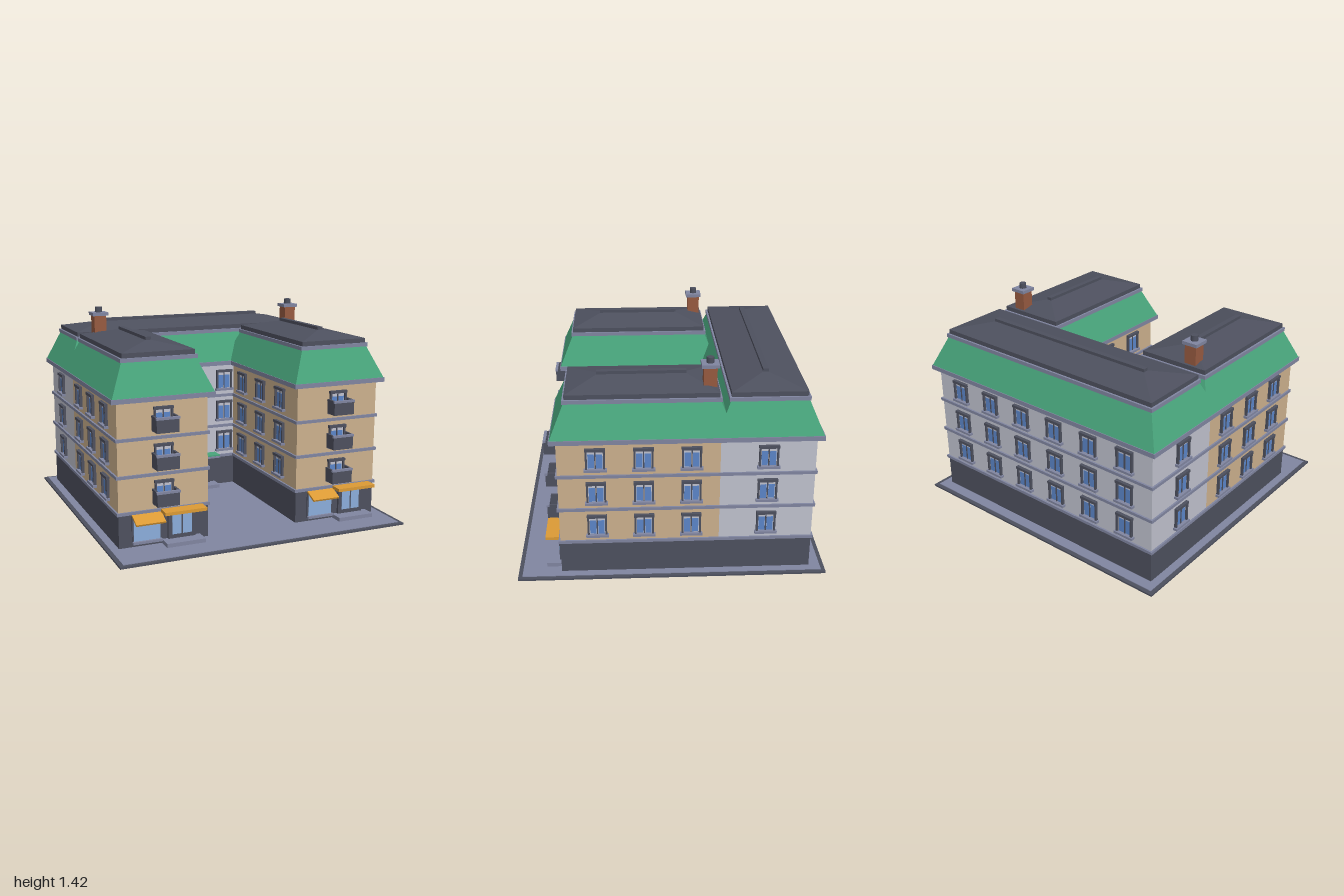
import * as THREE from 'three';

const mat = (name, color) => Object.assign(new THREE.MeshStandardMaterial({ color }), { name });
const M = {
  slate: mat('dark slate', 0x4d505e),
  trim: mat('grey trim', 0x8085a0),
  pale: mat('pale wall', 0xbfc1cd),
  tan: mat('tan wall', 0xcbb08d),
  green: mat('green roof', 0x48a47b),
  glass: mat('blue glass', 0x5b85c8),
  shop: mat('shop glass', 0x8badda),
  gold: mat('gold awning', 0xdb9a35),
  brick: mat('brick', 0x965a40),
};

// Box from ranges; the top can be drawn in by ix and iz on each side
function block(parent, name, m, x0, x1, y0, y1, z0, z1, ix = 0, iz = 0) {
  const w = x1 - x0, h = y1 - y0, d = z1 - z0;
  const g = new THREE.BoxGeometry(w, h, d);
  if (ix || iz) {
    const p = g.attributes.position;
    for (let i = 0; i < p.count; i++) {
      if (p.getY(i) < 0) continue;
      p.setX(i, p.getX(i) - Math.sign(p.getX(i)) * ix);
      p.setZ(i, p.getZ(i) - Math.sign(p.getZ(i)) * iz);
    }
    g.computeVertexNormals();
  }
  const mesh = new THREE.Mesh(g, m);
  mesh.name = name;
  mesh.position.set((x0 + x1) / 2, (y0 + y1) / 2, (z0 + z1) / 2);
  parent.add(mesh);
  return mesh;
}

function subgroup(parent, name, x = 0, y = 0, z = 0, turn = 0) {
  const g = new THREE.Group();
  g.name = name;
  g.position.set(x, y, z);
  g.rotation.y = turn;
  parent.add(g);
  return g;
}

const FLOORS = [0.24, 0.475, 0.71];

// Window facing +z, y measured from the floor line
function addWindow(parent, x, y, z, turn) {
  const w = subgroup(parent, 'window', x, y, z, turn);
  block(w, 'windowFrame', M.pale, -0.052, 0.052, 0.055, 0.185, -0.002, 0.004);
  for (const s of [-1, 1]) {
    block(w, 'pane', M.glass, s * 0.026 - 0.02, s * 0.026 + 0.02, 0.058, 0.155, 0.003, 0.006);
    block(w, 'jamb', M.slate, s * 0.056 - 0.006, s * 0.056 + 0.006, 0.055, 0.185, 0, 0.018);
  }
  block(w, 'mullion', M.slate, -0.004, 0.004, 0.055, 0.18, 0, 0.009);
  block(w, 'lintel', M.slate, -0.064, 0.064, 0.178, 0.196, 0, 0.022);
  block(w, 'sill', M.trim, -0.072, 0.072, 0.04, 0.056, 0, 0.028);
}

// Balcony with solid parapet, rail on top
function addBalcony(parent, x, y, z) {
  const b = subgroup(parent, 'balcony', x, y, z);
  block(b, 'balconySlab', M.slate, -0.074, 0.074, 0.045, 0.06, 0, 0.094);
  block(b, 'parapetFront', M.slate, -0.074, 0.074, 0.05, 0.13, 0.084, 0.094);
  block(b, 'railFront', M.trim, -0.078, 0.078, 0.128, 0.143, 0.08, 0.098);
  for (const s of [-1, 1]) {
    block(b, 'parapetSide', M.slate, s * 0.069 - 0.005, s * 0.069 + 0.005, 0.05, 0.13, 0, 0.09);
    block(b, 'railSide', M.slate, s * 0.07 - 0.007, s * 0.07 + 0.007, 0.128, 0.142, 0, 0.085);
  }
}

// Double door facing +z with glass leaves and a step
function addDoor(parent, x, z, w, h, paneY0, paneY1, stepW, stepD) {
  const d = subgroup(parent, 'door', x, 0, z);
  block(d, 'doorFrame', M.slate, -w / 2, w / 2, 0.015, h, 0, 0.018);
  for (const s of [-1, 1]) {
    const c = s * w * 0.195, r = w * 0.165;
    block(d, 'doorGlass', M.shop, c - r, c + r, paneY0, paneY1, 0.016, 0.022);
  }
  block(d, 'doorStep', M.trim, -stepW / 2, stepW / 2, 0.014, 0.042, 0, stepD);
}

// Storeys, bands and eaves cornice of one block
function addWalls(parent, wall, x0, x1, z0, z1) {
  block(parent, 'groundFloor', M.slate, x0, x1, 0.012, 0.24, z0, z1);
  block(parent, 'upperWalls', wall, x0, x1, 0.24, 0.95, z0, z1);
  for (const y of FLOORS)
    block(parent, 'floorBand', M.trim, x0 - 0.012, x1 + 0.012, y - 0.01, y + 0.01, z0 - 0.012, z1 + 0.012);
  block(parent, 'eavesCornice', M.trim, x0 - 0.04, x1 + 0.04, 0.945, 0.975, z0 - 0.04, z1 + 0.04);
}

// Mansard slope, rim, low hip and ridge cap
function addRoof(parent, x0, x1, z0, z1, ridgeX, ridgeZ) {
  block(parent, 'mansard', M.green, x0, x1, 0.975, 1.182, z0, z1, 0.09, 0.09);
  const [a, b, c, d] = [x0 + 0.082, x1 - 0.082, z0 + 0.082, z1 - 0.082];
  block(parent, 'roofRim', M.trim, a, b, 1.18, 1.205, c, d);
  const e = 0.013, cx = (a + b) / 2, cz = (c + d) / 2;
  block(parent, 'roofEdge', M.slate, a + e, b - e, 1.205, 1.235, c + e, d - e);
  block(parent, 'hipRoof', M.slate, a + e, b - e, 1.235, 1.28, c + e, d - e,
    (b - a) / 2 - e - ridgeX, (d - c) / 2 - e - ridgeZ);
  block(parent, 'ridgeCap', M.slate, cx - ridgeX, cx + ridgeX, 1.275, 1.3, cz - ridgeZ, cz + ridgeZ);
}

function addChimney(parent, x, z) {
  const c = subgroup(parent, 'chimney', x, 0, z);
  block(c, 'chimneyStack', M.brick, -0.042, 0.042, 1.2, 1.37, -0.042, 0.042);
  block(c, 'chimneyCap', M.trim, -0.055, 0.055, 1.366, 1.388, -0.055, 0.055);
  const pot = new THREE.Mesh(new THREE.CylinderGeometry(0.024, 0.024, 0.04, 12), M.slate);
  pot.name = 'chimneyPot';
  pot.position.y = 1.405;
  c.add(pot);
}

// Shop window, awning, door and canopy; x measured from the wing centre
function addShop(parent, cx, z) {
  const s = subgroup(parent, 'shopFront', cx, 0, z);
  block(s, 'shopWindowFrame', M.slate, -0.215, -0.02, 0.04, 0.22, 0, 0.008);
  block(s, 'shopWindow', M.shop, -0.205, -0.03, 0.052, 0.21, 0.006, 0.013);
  block(s, 'shopSill', M.trim, -0.215, -0.02, 0.038, 0.054, 0, 0.03);
  const awning = block(s, 'slopedAwning', M.gold, -0.215, -0.02, 0.2, 0.213, 0, 0.1);
  awning.rotation.x = 0.42;
  block(s, 'flatCanopy', M.gold, -0.025, 0.256, 0.226, 0.247, 0, 0.1);
  addDoor(s, 0.115, 0, 0.185, 0.22, 0.07, 0.198, 0.26, 0.1);
}

export function createModel() {
  const model = new THREE.Group();
  model.name = 'courtyardBuilding';

  // Ground plate
  block(model, 'groundBorder', M.slate, -1, 1, 0, 0.012, -1, 1);
  block(model, 'pavement', M.trim, -0.973, 0.973, 0.01, 0.016, -0.973, 0.973);

  // Rear block
  const rear = subgroup(model, 'rearBlock');
  addWalls(rear, M.pale, -0.92, 0.92, -0.9, -0.3);
  addRoof(rear, -0.955, 0.955, -0.935, -0.27, 0.637, 0.018);
  for (const y of FLOORS) {
    for (const x of [-0.24, 0, 0.24]) addWindow(rear, x, y, -0.3, 0);
    for (let i = 0; i < 6; i++) addWindow(rear, -0.715 + i * 0.286, y, -0.9, Math.PI);
    for (const s of [-1, 1]) addWindow(rear, s * 0.92, y, -0.6, s * Math.PI / 2);
  }

  // Courtyard entrance
  const entrance = subgroup(rear, 'entrance');
  addDoor(entrance, 0, -0.3, 0.24, 0.245, 0.088, 0.215, 0.33, 0.1);
  block(entrance, 'entranceCanopy', M.green, -0.17, 0.17, 0.256, 0.272, -0.3, -0.21);
  block(entrance, 'canopyEdge', M.trim, -0.172, 0.172, 0.25, 0.262, -0.212, -0.202);

  // Two wings
  for (const side of [-1, 1]) {
    const cx = side * 0.62;
    const wing = subgroup(model, side > 0 ? 'leftWing' : 'rightWing');
    addWalls(wing, M.tan, cx - 0.3, cx + 0.3, -0.3, 0.72);
    addRoof(wing, cx - 0.335, cx + 0.335, -0.39, 0.755, 0.018, 0.283);
    addChimney(wing, side * 0.738, -0.24);
    for (const y of FLOORS) {
      for (const z of [-0.12, 0.18, 0.48])
        for (const s of [-1, 1]) addWindow(wing, cx + s * 0.3, y, z, s * Math.PI / 2);
      addWindow(wing, cx, y, 0.72, 0);
      addBalcony(wing, cx, y, 0.72);
    }
    addShop(wing, cx, 0.72);
  }
  return model;
}
